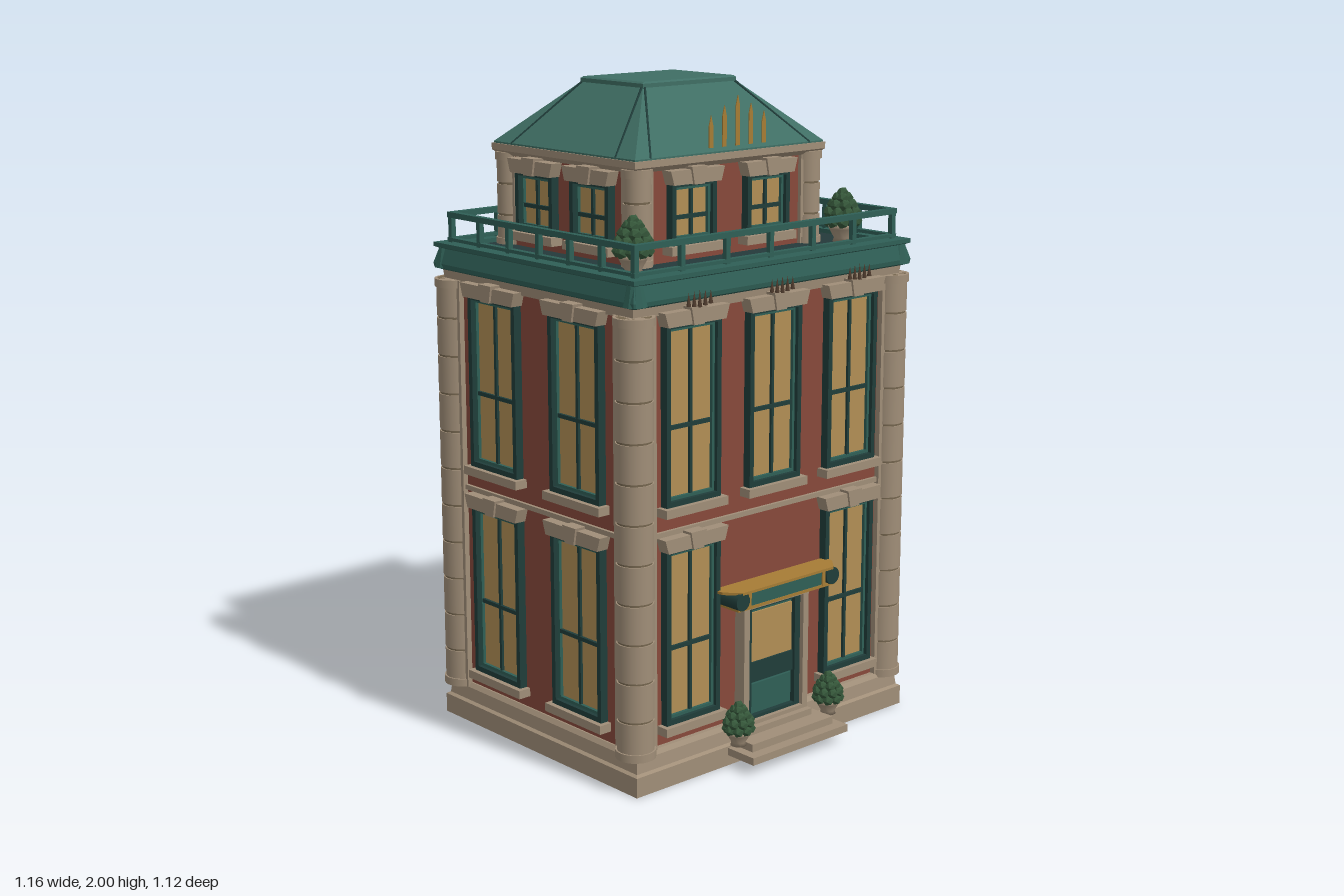
import * as THREE from 'three';

const mat = (color, extra = {}) => new THREE.MeshStandardMaterial({ color, ...extra });
const STONE = mat(0xa08e78), JOINT = mat(0x75664f), BRICK = mat(0x87493b), TEAL = mat(0x2f5f56, { flatShading: true });
const ROOF = mat(0x3f6e64, { flatShading: true }), DARK = mat(0x203d3a), FLOOR = mat(0x24393a), GLASS = mat(0xb18e55);
const GOLD = mat(0xa67c35, { side: THREE.DoubleSide }), LEAF = mat(0x35573a, { flatShading: true }), BRONZE = mat(0x4d3a2c);
const ZC = -0.015, ZA = -0.08; // depth centres of the main block and the attic

function add(parent, name, geo, material, x = 0, y = 0, z = 0) {
  const m = new THREE.Mesh(geo, material);
  m.name = name;
  m.position.set(x, y, z);
  parent.add(m);
  return m;
}

// Box given by its extents
function box(parent, name, material, x0, x1, y0, y1, z0, z1) {
  return add(parent, name, new THREE.BoxGeometry(x1 - x0, y1 - y0, z1 - z0), material,
    (x0 + x1) / 2, (y0 + y1) / 2, (z0 + z1) / 2);
}

// Loft through rectangles [y, halfX, halfZ], closed at both ends
function rectLoft(rings) {
  const pts = rings.map(([y, a, b]) => [[a, y, b], [a, y, -b], [-a, y, -b], [-a, y, b]]);
  const pos = [];
  const quad = (a, b, c, d) => pos.push(...a, ...b, ...c, ...a, ...c, ...d);
  for (let r = 0; r < pts.length - 1; r++)
    for (let i = 0; i < 4; i++) {
      const j = (i + 1) % 4;
      quad(pts[r][i], pts[r][j], pts[r + 1][j], pts[r + 1][i]);
    }
  quad(...pts[pts.length - 1]);
  quad(...[...pts[0]].reverse());
  const g = new THREE.BufferGeometry();
  g.setAttribute('position', new THREE.Float32BufferAttribute(pos, 3));
  g.computeVertexNormals();
  return g;
}

const extrude = (shape, depth) => new THREE.ExtrudeGeometry(shape, { depth, bevelEnabled: false, curveSegments: 8 });
const polygon = (pts) => new THREE.Shape(pts.map(([x, y]) => new THREE.Vector2(x, y)));

// Picture-frame shape
function frameGeo(w, h, t, depth) {
  const a = w / 2, b = a - t;
  const s = polygon([[-a, 0], [a, 0], [a, h], [-a, h]]);
  s.holes.push(polygon([[-b, t], [-b, h - t], [b, h - t], [b, t]]));
  return extrude(s, depth);
}

// Sash window; the wall plane is z = 0 and +z points outward
function sashWindow(parent, x, y0, y1, w) {
  const g = new THREE.Group();
  g.name = 'window';
  g.position.set(x, y0, 0);
  parent.add(g);
  const h = y1 - y0, a = w / 2, mid = h * 0.43;
  box(g, 'glass', GLASS, -a + 0.01, a - 0.01, 0.01, h - 0.01, -0.005, 0.004);
  add(g, 'outerFrame', frameGeo(w, h, 0.016, 0.026), DARK);
  add(g, 'innerFrame', frameGeo(w - 0.026, h - 0.026, 0.012, 0.014), TEAL, 0, 0.013);
  box(g, 'centreBar', DARK, -0.005, 0.005, 0.02, h - 0.02, 0, 0.012);
  box(g, 'crossBar', DARK, -a + 0.02, a - 0.02, mid - 0.006, mid + 0.006, 0, 0.013);
  box(g, 'sill', STONE, -a - 0.015, a + 0.015, -0.026, 0, -0.01, 0.042);
  const l = a + 0.005, t = a + 0.018;
  add(g, 'lintel', extrude(polygon([[-l, 0], [l, 0], [t, 0.042], [-t, 0.042]]), 0.045), STONE, 0, h - 0.008, -0.005);
  add(g, 'keystone', extrude(polygon([[-0.02, 0], [0.02, 0], [0.03, 0.052], [-0.03, 0.052]]), 0.052), STONE, 0, h - 0.01, -0.005);
}

// Group whose local z = 0 is a wall plane, turned to face outward
function facade(parent, name, x, z, angle) {
  const g = new THREE.Group();
  g.name = name;
  g.position.set(x, 0, z);
  g.rotation.y = angle;
  parent.add(g);
  return g;
}

// Rounded corner column of stacked drums beside a square pier
function cornerColumn(parent, x, z, zc, r, y0, y1, n) {
  const g = new THREE.Group();
  g.name = 'cornerColumn';
  g.position.set(x, 0, z);
  parent.add(g);
  const h = (y1 - y0) / n, sx = Math.sign(x), sz = Math.sign(z - zc), p = r * 0.95;
  add(g, 'pier', new THREE.BoxGeometry(p * 1.6, y1 - y0, p * 1.6), STONE, -sx * p * 0.3, (y0 + y1) / 2, -sz * p * 0.3);
  add(g, 'joints', new THREE.CylinderGeometry(r - 0.006, r - 0.006, y1 - y0, 20), JOINT, 0, (y0 + y1) / 2);
  for (let i = 0; i < n; i++)
    add(g, 'drum', new THREE.CylinderGeometry(r - 0.002, r - 0.002, h - 0.007, 20), STONE, 0, y0 + (i + 0.5) * h);
  for (const y of [y0 + 0.012, y1 - 0.012])
    add(g, 'columnBand', new THREE.CylinderGeometry(r + 0.003, r + 0.003, 0.024, 20), STONE, 0, y);
}

// Potted bush made of tiers of faceted leaves
function plant(parent, x, y, z, s) {
  const g = new THREE.Group();
  g.name = 'pottedPlant';
  g.position.set(x, y, z);
  g.scale.setScalar(s);
  parent.add(g);
  const profile = [[0, 0], [0.026, 0], [0.022, 0.01], [0.036, 0.035], [0.04, 0.045], [0.03, 0.045], [0, 0.04]];
  add(g, 'pot', new THREE.LatheGeometry(profile.map(([a, b]) => new THREE.Vector2(a, b)), 12), STONE);
  [[0.036, 0.055, 8], [0.036, 0.078, 8], [0.025, 0.098, 6], [0.012, 0.116, 4], [0, 0.128, 1]].forEach(([r, h, n], k) => {
    for (let i = 0; i < n; i++) {
      const a = ((i + (k % 2) / 2) / n) * Math.PI * 2;
      add(g, 'leaf', new THREE.IcosahedronGeometry(0.018, 0), LEAF, Math.cos(a) * r, h, Math.sin(a) * r);
    }
  });
}

function rod(parent, name, a, b, r, material) {
  const p = new THREE.Vector3(...a), q = new THREE.Vector3(...b);
  return add(parent, name, new THREE.TubeGeometry(new THREE.LineCurve3(p, q), 1, r, 6), material);
}

export function createModel() {
  const house = new THREE.Group();
  house.name = 'townhouse';
  const loft = (name, m, zc, rings) => add(house, name, rectLoft(rings), m, 0, 0, zc);

  // Plinth and main walls
  loft('plinth', STONE, -0.01, [[0, 0.56, 0.46], [0.06, 0.56, 0.46], [0.066, 0.55, 0.45], [0.105, 0.545, 0.445], [0.118, 0.535, 0.435]]);
  loft('brickWalls', BRICK, ZC, [[0.1, 0.53, 0.425], [1.41, 0.53, 0.425]]);
  loft('beltCourse', STONE, ZC, [[0.75, 0.54, 0.435], [0.765, 0.54, 0.435]]);
  loft('frieze', STONE, ZC, [[1.395, 0.54, 0.435], [1.435, 0.545, 0.44]]);

  // Cornice with sunken terrace
  loft('cornice', TEAL, ZC, [[1.425, 0.545, 0.445], [1.432, 0.56, 0.46], [1.445, 0.562, 0.462], [1.49, 0.548, 0.45],
    [1.495, 0.56, 0.462], [1.508, 0.56, 0.462], [1.508, 0.5, 0.397], [1.49, 0.5, 0.397]]);
  loft('terraceFloor', FLOOR, ZC, [[1.485, 0.499, 0.396], [1.495, 0.499, 0.396]]);

  // Columns, cornice corners and railing corner by corner
  for (const sx of [-1, 1])
    for (const sz of [-1, 1]) {
      cornerColumn(house, sx * 0.52, ZC + sz * 0.415, ZC, 0.057, 0.105, 1.4, 11);
      cornerColumn(house, sx * 0.343, ZA + sz * 0.292, ZA, 0.043, 1.49, 1.775, 3);
      add(house, 'corniceCorner', new THREE.CylinderGeometry(0.022, 0.036, 0.06, 10), TEAL, sx * 0.533, 1.462, ZC + sz * 0.435);
    }

  // Terrace railing
  const rx = 0.52, rz = 0.42;
  for (const s of [-1, 1])
    for (const [y0, y1] of [[1.512, 1.522], [1.583, 1.6]]) {
      box(house, 'rail', TEAL, -rx - 0.01, rx + 0.01, y0, y1, ZC + s * rz - 0.01, ZC + s * rz + 0.01);
      box(house, 'rail', TEAL, s * rx - 0.01, s * rx + 0.01, y0, y1, ZC - rz, ZC + rz);
    }
  for (const s of [-1, 1])
    for (let i = 0; i <= 6; i++) {
      const x = rx * (i / 3 - 1), z = ZC + rz * (i / 3 - 1), t = 0.008;
      box(house, 'railPost', TEAL, x - t, x + t, 1.5, 1.59, ZC + s * rz - t, ZC + s * rz + t);
      box(house, 'railPost', TEAL, s * rx - t, s * rx + t, 1.5, 1.59, z - t, z + t);
    }

  // Attic walls, eave and roof
  loft('atticWalls', BRICK, ZA, [[1.49, 0.36, 0.3], [1.79, 0.36, 0.3]]);
  loft('eave', STONE, ZA, [[1.765, 0.365, 0.312], [1.78, 0.383, 0.33], [1.8, 0.383, 0.33]]);
  loft('hipRoof', ROOF, ZA, [[1.797, 0.378, 0.325], [1.805, 0.378, 0.325], [1.983, 0.187, 0.142], [1.995, 0.187, 0.142], [2, 0.18, 0.136]]);
  for (const sx of [-1, 1])
    for (const sz of [-1, 1]) {
      rod(house, 'roofSeam', [sx * 0.32, 1.803, ZA + sz * 0.325], [sx * 0.18, 1.983, ZA + sz * 0.142], 0.004, DARK);
      rod(house, 'roofSeam', [sx * 0.378, 1.803, ZA + sz * 0.24], [sx * 0.187, 1.983, ZA + sz * 0.136], 0.004, DARK);
    }

  // Windows on the four sides; the front leaves room for the door
  const wallX = 0.53, wallZ = 0.425, Q = Math.PI / 2;
  const front = facade(house, 'frontFacade', 0, ZC + wallZ, 0);
  const back = facade(house, 'backFacade', 0, ZC - wallZ, Math.PI);
  const left = facade(house, 'leftFacade', wallX, ZC, Q);
  const right = facade(house, 'rightFacade', -wallX, ZC, -Q);
  for (const f of [front, back])
    for (const x of [-0.325, 0, 0.325]) {
      sashWindow(f, x, 0.838, 1.37, 0.21);
      if (f === back || x !== 0) sashWindow(f, x, 0.18, 0.715, 0.21);
    }
  for (const f of [left, right])
    for (const x of [-0.19, 0.19]) {
      sashWindow(f, x, 0.838, 1.37, 0.225);
      sashWindow(f, x, 0.18, 0.715, 0.225);
    }
  const attic = [['atticFront', 0, ZA + 0.3, 0, 0.15], ['atticBack', 0, ZA - 0.3, Math.PI, 0.15],
    ['atticLeft', 0.36, ZA, Q, 0.128], ['atticRight', -0.36, ZA, -Q, 0.128]];
  for (const [name, x, z, angle, off] of attic) {
    const f = facade(house, name, x, z, angle);
    for (const s of [-1, 1]) sashWindow(f, s * off, 1.545, 1.73, 0.175);
  }

  // Door
  const door = facade(house, 'door', 0, ZC + wallZ, 0);
  box(door, 'doorLeaf', TEAL, -0.11, 0.11, 0.1, 0.48, -0.01, 0.01);
  add(door, 'stoneSurround', frameGeo(0.27, 0.4, 0.022, 0.04), STONE, 0, 0.09);
  add(door, 'doorFrame', frameGeo(0.226, 0.38, 0.022, 0.026), DARK, 0, 0.1);
  box(door, 'doorGlass', GLASS, -0.087, 0.087, 0.29, 0.445, 0, 0.016);
  box(door, 'doorMiddleRail', DARK, -0.095, 0.095, 0.225, 0.288, 0, 0.018);
  box(door, 'doorPanel', TEAL, -0.083, 0.083, 0.14, 0.22, 0, 0.018);

  // Door canopy with rounded ends
  const plan = polygon([[-0.235, 0], [-0.23, 0.04], [-0.19, 0.085], [0.19, 0.085], [0.23, 0.04], [0.235, 0]]);
  add(door, 'canopyTop', extrude(plan, 0.008), GOLD, 0, 0.55, 0.005).rotation.x = Q;
  box(door, 'canopyBand', TEAL, -0.16, 0.16, 0.497, 0.545, 0, 0.08);
  box(door, 'canopyTrim', GOLD, -0.2, 0.2, 0.49, 0.499, 0, 0.082);
  for (const s of [-1, 1]) {
    box(door, 'canopyStrip', GOLD, s * 0.155 - 0.006, s * 0.155 + 0.006, 0.495, 0.547, 0, 0.084);
    add(door, 'canopyBracket', new THREE.CylinderGeometry(0.027, 0.027, 0.085, 14), DARK, s * 0.188, 0.521, 0.047).rotation.x = Q;
  }

  // Front steps and plants
  box(house, 'lowerStep', STONE, -0.2, 0.2, 0.033, 0.056, 0.4, 0.56);
  box(house, 'upperStep', STONE, -0.17, 0.17, 0.056, 0.08, 0.4, 0.525);
  box(house, 'threshold', STONE, -0.135, 0.135, 0.08, 0.1, 0.4, 0.47);
  for (const s of [-1, 1]) {
    plant(house, s * 0.19, 0.075, 0.485, 0.95);
    plant(house, s * 0.424, 1.495, 0.288, 1.15);
  }

  // Flat gold roof crest and small bronze crests above the front windows
  for (let i = -2; i <= 2; i++) {
    const top = 1.965 - Math.abs(i) * 0.026;
    const spike = polygon([[-0.008, 1.82], [0.008, 1.82], [0.008, top - 0.03], [0, top], [-0.008, top - 0.03]]);
    add(house, 'roofCrest', extrude(spike, 0.003), GOLD, i * 0.053, 0, 0.264);
    for (const x of [-0.325, 0, 0.325])
      add(house, 'windowCrest', new THREE.ConeGeometry(0.007, 0.05 - Math.abs(i) * 0.006, 6), BRONZE, x + i * 0.021, 1.435, 0.457);
  }

  // Rear awning
  box(house, 'rearAwning', FLOOR, -0.34, 0.34, 0.753, 0.768, -0.562, -0.43);

  return house;
}
